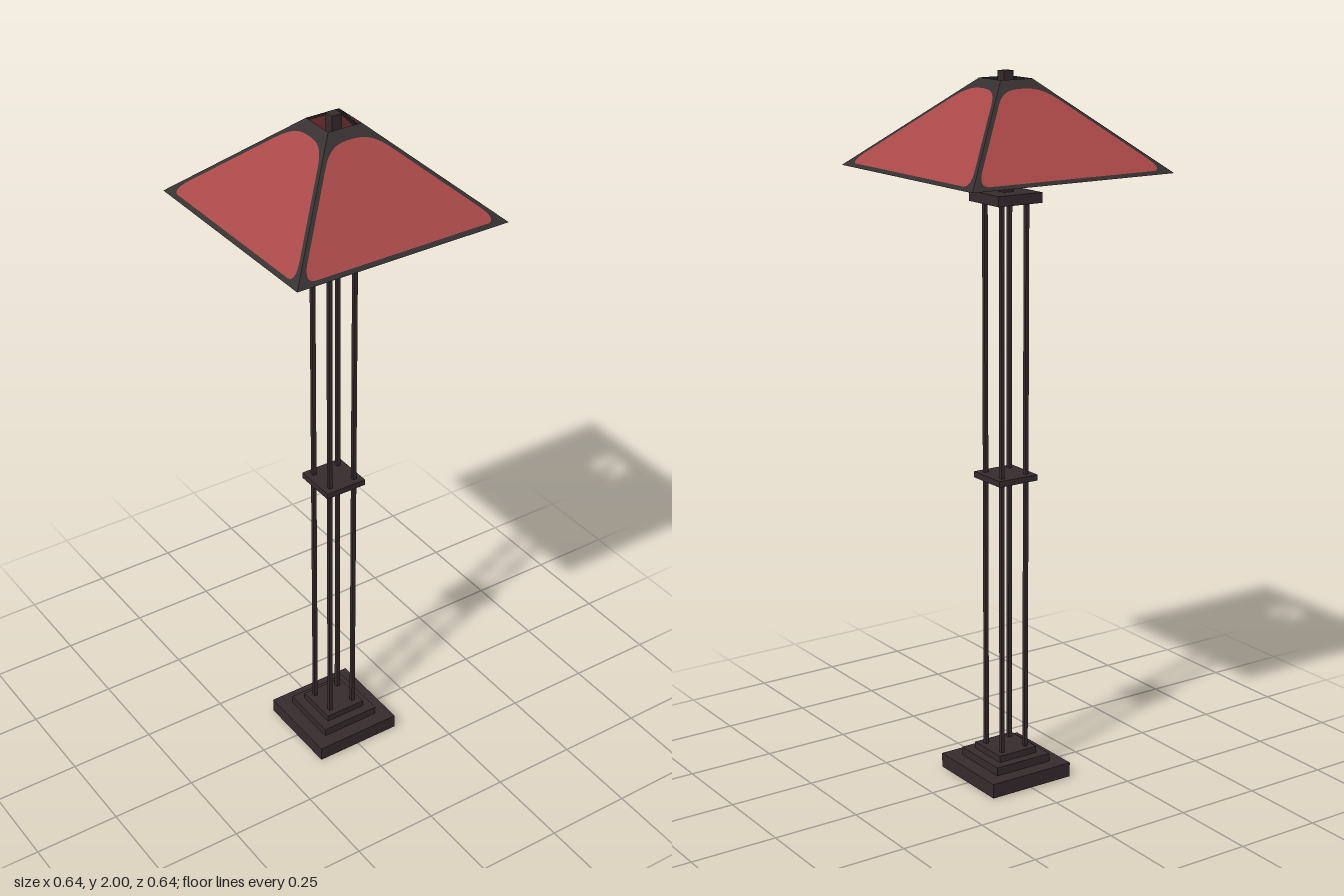
import * as THREE from 'three';

const bronze = new THREE.MeshStandardMaterial({ color: 0x372b2d });
bronze.name = 'dark bronze';
const iron = new THREE.MeshStandardMaterial({ color: 0x34302f, side: THREE.DoubleSide });
iron.name = 'shade iron';
const glass = new THREE.MeshStandardMaterial({ color: 0xa84747, side: THREE.DoubleSide });
glass.name = 'red glass';
const felt = new THREE.MeshStandardMaterial({ color: 0x1e1a1a });
felt.name = 'felt';

// Square slab centred on the axis, from y0 to y1
function slab(name, half, y0, y1, material = bronze) {
  const mesh = new THREE.Mesh(new THREE.BoxGeometry(half * 2, y1 - y0, half * 2), material);
  mesh.name = name;
  mesh.position.y = (y0 + y1) / 2;
  return mesh;
}

// Shade section: half-width and height at rim and top
const RIM = 0.318, RIM_Y = 1.74, TOP = 0.05, TOP_Y = 1.98;

// Lay a plan shape (x, distance from axis) onto the sloping face
function slopedFace(shape) {
  const geometry = new THREE.ShapeGeometry(shape, 10);
  const p = geometry.attributes.position;
  for (let i = 0; i < p.count; i++) {
    const r = p.getY(i);
    const t = (RIM - r) / (RIM - TOP);
    p.setXYZ(i, p.getX(i), RIM_Y + t * (TOP_Y - RIM_Y), r);
  }
  // The plan is mirrored in depth, so turn the faces outward
  const index = geometry.index;
  for (let i = 0; i < index.count; i += 3) {
    const b = index.getX(i + 1);
    index.setX(i + 1, index.getX(i + 2));
    index.setX(i + 2, b);
  }
  geometry.computeVertexNormals();
  return geometry;
}

// Rounded glass outline
function tracePanel(path) {
  path.moveTo(-0.262, 0.308);
  path.lineTo(0.262, 0.308);
  path.quadraticCurveTo(0.288, 0.305, 0.262, 0.276);
  path.lineTo(0.1, 0.114);
  path.bezierCurveTo(0.066, 0.08, 0.04, 0.075, 0, 0.075);
  path.bezierCurveTo(-0.04, 0.075, -0.066, 0.08, -0.1, 0.114);
  path.lineTo(-0.262, 0.276);
  path.quadraticCurveTo(-0.288, 0.305, -0.262, 0.308);
  return path;
}

function createShade() {
  const shade = new THREE.Group();
  shade.name = 'shade';
  const frameShape = new THREE.Shape([
    new THREE.Vector2(-RIM, RIM), new THREE.Vector2(-TOP, TOP),
    new THREE.Vector2(TOP, TOP), new THREE.Vector2(RIM, RIM),
  ]);
  frameShape.holes.push(tracePanel(new THREE.Path()));
  const frameGeometry = slopedFace(frameShape);
  const panelGeometry = slopedFace(tracePanel(new THREE.Shape()));
  for (let i = 0; i < 4; i++) {
    const side = new THREE.Group();
    side.name = 'shadeSide';
    const frame = new THREE.Mesh(frameGeometry, iron);
    frame.name = 'shadeFrame';
    const panel = new THREE.Mesh(panelGeometry, glass);
    panel.name = 'glassPanel';
    side.add(frame, panel);
    side.rotation.y = i * Math.PI / 2;
    shade.add(side);
  }
  return shade;
}

export function createModel() {
  const lamp = new THREE.Group();
  lamp.name = 'floorLamp';

  // Stepped base
  lamp.add(
    slab('basePad', 0.108, 0, 0.01, felt),
    slab('baseBottomStep', 0.132, 0.002, 0.044),
    slab('baseMiddleStep', 0.09, 0.044, 0.068),
    slab('baseTopStep', 0.063, 0.068, 0.087),
  );

  // Four slim posts
  for (const x of [-1, 1]) {
    for (const z of [-1, 1]) {
      const post = slab('post', 0.0055, 0.08, 1.66);
      post.position.x = x * 0.04;
      post.position.z = z * 0.04;
      lamp.add(post);
    }
  }

  // Tie plate, head plate and the stem that ends in the finial
  lamp.add(
    slab('tiePlate', 0.063, 0.88, 0.897),
    slab('headPlate', 0.071, 1.652, 1.68),
    slab('stem', 0.015, 1.68, 2),
  );

  lamp.add(createShade());
  return lamp;
}
